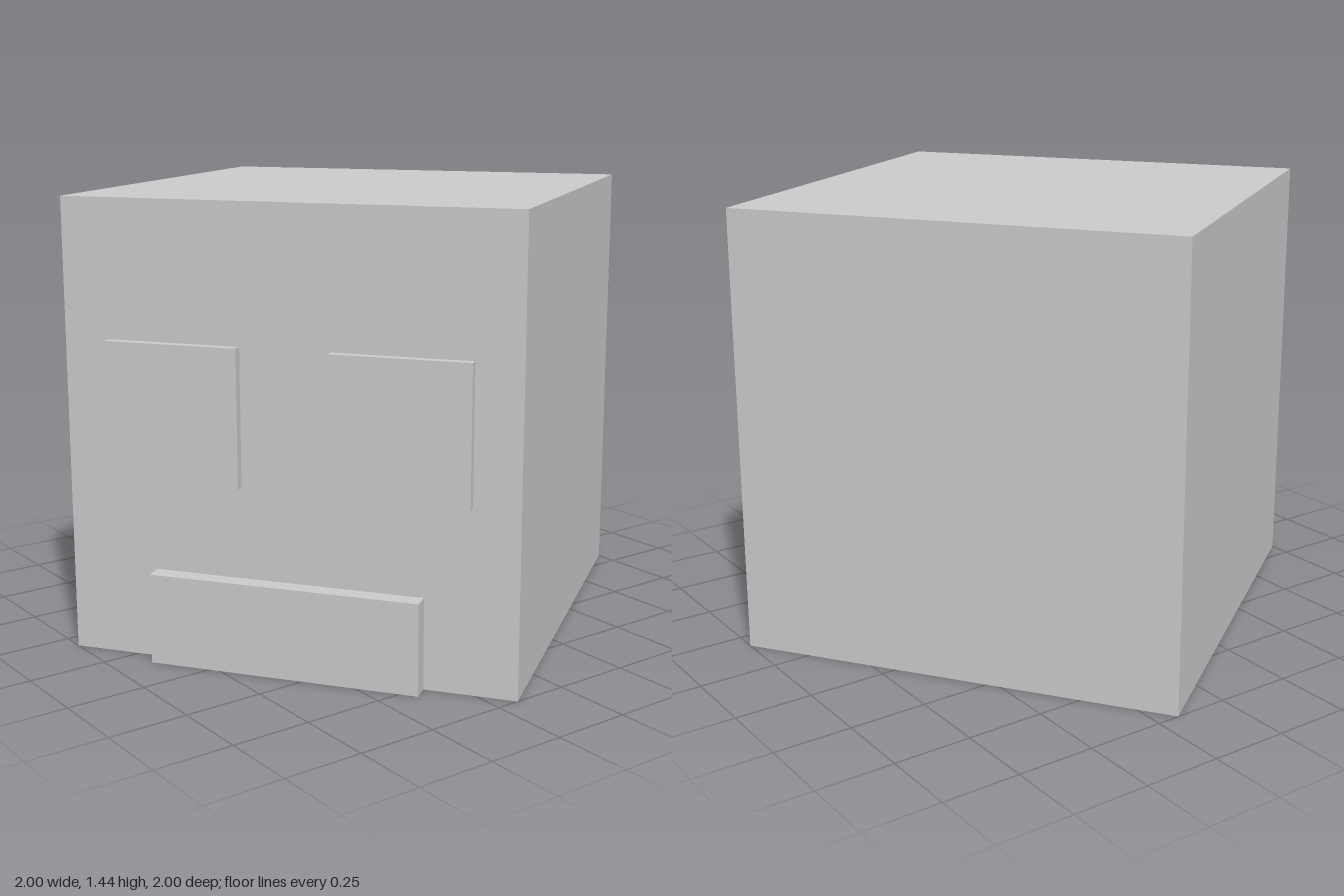
import * as THREE from 'three';

const S = 1.436; // cube edge

export function createModel() {
  const grey = new THREE.MeshStandardMaterial({ color: 0xcccccc });
  grey.name = 'light grey';

  const model = new THREE.Group();
  model.name = 'cubeHead';

  // Box sized in cube edges, standing at height y, with its back at depth z
  const addBox = (name, w, h, d, x, y, z) => {
    const mesh = new THREE.Mesh(new THREE.BoxGeometry(w * S, h * S, d * S), grey);
    mesh.name = name;
    mesh.position.set(x * S, (y + h / 2) * S, (z + d / 2) * S);
    model.add(mesh);
  };

  addBox('head', 1, 1, 1, 0, 0, -0.5);

  // Raised square eyes
  for (const side of [-1, 1]) {
    addBox(side > 0 ? 'leftEye' : 'rightEye', 0.3, 0.3, 0.02, side * 0.25, 0.4, 0.5);
  }

  // Thicker mouth block flush with the base
  addBox('mouth', 0.6, 0.2, 0.04, 0, 0, 0.5);

  // The head is turned towards its left
  model.rotation.y = THREE.MathUtils.degToRad(35);

  const root = new THREE.Group();
  root.name = 'model';
  root.add(model);
  return root;
}
